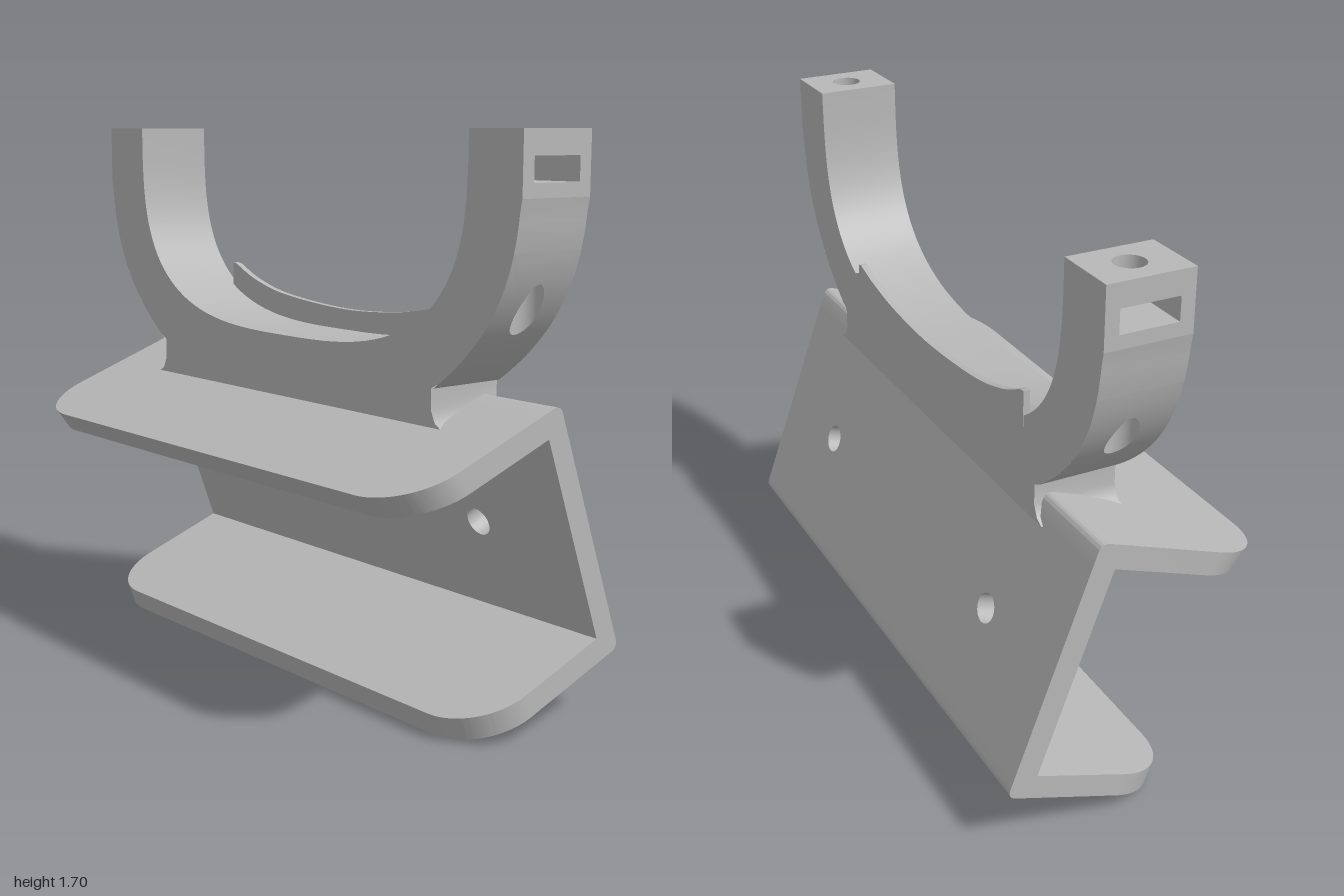
import * as THREE from 'three';
import { toCreasedNormals } from 'three/addons/utils/BufferGeometryUtils.js';

const grey = new THREE.MeshStandardMaterial({ color: 0xb8b8b8, side: THREE.DoubleSide });
grey.name = 'plain grey';

function add(parent, name, geometry) {
  const mesh = new THREE.Mesh(geometry, grey);
  mesh.name = name;
  parent.add(mesh);
  return mesh;
}

// Smooth sheet from a rule fn(u, v) -> [x, y, z], with u and v from 0 to 1
function sheet(nu, nv, fn) {
  const pos = [], idx = [];
  for (let i = 0; i <= nu; i++)
    for (let j = 0; j <= nv; j++) pos.push(...fn(i / nu, j / nv));
  for (let i = 0; i < nu; i++)
    for (let j = 0; j < nv; j++) {
      const a = i * (nv + 1) + j, b = a + nv + 1;
      idx.push(a, a + 1, b, b, a + 1, b + 1);
    }
  const g = new THREE.BufferGeometry();
  g.setAttribute('position', new THREE.Float32BufferAttribute(pos, 3));
  g.setIndex(idx);
  g.computeVertexNormals();
  return g;
}

function extrude(shape, depth) {
  return toCreasedNormals(
    new THREE.ExtrudeGeometry(shape, { depth, bevelEnabled: false, curveSegments: 16 }), 0.5);
}

const polygon = (pts) => new THREE.Shape(pts.map(([x, y]) => new THREE.Vector2(x, y)));
const circle = (x, y, r) => new THREE.Path().absarc(x, y, r, 0, Math.PI * 2, true);

// ---- Tilted channel bracket ----
const W = 0.96, T = 0.073, H = 0.8;

function flange(length, undercut) {
  const r = 0.2;
  const s = new THREE.Shape();
  s.moveTo(-W, T);
  s.lineTo(W, T);
  s.lineTo(W, length - r);
  s.absarc(W - r, length - r, r, 0, Math.PI / 2, false);
  s.absarc(-W + r, length - r, r, Math.PI / 2, Math.PI, false);
  const g = new THREE.ExtrudeGeometry(s, { depth: T, bevelEnabled: false, curveSegments: 16 });
  g.rotateX(Math.PI / 2);
  const p = g.attributes.position;
  for (let i = 0; i < p.count; i++)
    if (p.getY(i) < -T / 2 && p.getZ(i) > T + 0.01) p.setZ(i, p.getZ(i) - undercut);
  return toCreasedNormals(g, 0.5);
}

// Rounded bend joining a flange to the back plate
function bend(y, s) {
  const r = 0.03;
  const c = new THREE.Shape();
  c.moveTo(T, y);
  c.lineTo(r, y);
  c.quadraticCurveTo(0, y, 0, y - s * r);
  c.lineTo(0, y - s * T);
  c.lineTo(T, y - s * T);
  return extrude(c, 2 * W).rotateY(-Math.PI / 2).translate(W, 0, 0);
}

function makeBracket() {
  const g = new THREE.Group();
  g.name = 'bracket';
  add(g, 'topFlange', flange(0.61, 0.022));
  add(g, 'bottomFlange', flange(0.58, 0)).position.y = T - H;
  add(g, 'topBend', bend(0, 1));
  add(g, 'bottomBend', bend(-H, -1));
  const back = polygon([[-W, T - H], [W, T - H], [W, -T], [-W, -T]]);
  for (const x of [-0.575, 0.575]) back.holes.push(circle(x, -0.42, 0.045));
  add(g, 'backPlate', extrude(back, T));
  g.position.set(-0.01, 0.953, -0.151);
  g.rotation.x = THREE.MathUtils.degToRad(20);
  return g;
}

// ---- Curved cradle ----
const Z0 = -0.187, Z1 = 0.072, TOP = 1.7;
const outerX = (y) => 1 - 0.947 * Math.pow(TOP - y, 3.21);
const outerY = (x) => TOP - Math.pow((1 - x) / 0.947, 1 / 3.21);
const HX = 0.9, HZ = -0.06, HR = 0.045;      // vertical bolt hole
const S0 = 1.56, S1 = 1.63;                  // side slot

const notch = [[0.71, 0.87], [0.685, 0.885], [0.668, 0.92], [0.668, 0.984]];
const range = (a, b, n) => Array.from({ length: n + 1 }, (_, i) => a + (b - a) * i / n);
const arc = (y0, y1, n) => range(y0, y1, n).map((y) => [outerX(y), y]);
const patchX0 = 0.8, patchX1 = 0.975;
const lowerArc = arc(0.984, outerY(patchX0), 6);
const middleArc = arc(outerY(patchX0), outerY(patchX1), 14);
const upperArc = [...arc(outerY(patchX1), 1.48, 5), [1, 1.52]];
const innerArc = range(Math.PI / 2, 0, 28).map((t) => [
  0.8 * Math.pow(Math.sin(t), 2 / 3),
  TOP - 0.635 * Math.pow(Math.max(Math.cos(t), 0), 2 / 3.2)]);

// Wall sweeping a profile line from front to back
const wall = (pts) => sheet(pts.length - 1, 1, (u, v) => {
  const [x, y] = pts[Math.round(u * (pts.length - 1))];
  return [x, y, Z0 + (Z1 - Z0) * v];
});

// Outer wall around the oblique exit of the bolt hole
const corners = [[patchX1, Z0], [patchX1, Z1], [patchX0, Z1], [patchX0, Z0]];
const exitPatch = () => sheet(64, 8, (u, v) => {
  const k = Math.floor(u * 4) % 4, f = (u * 4) % 1;
  const [a, b] = [corners[k], corners[(k + 1) % 4]];
  const dx = a[0] + (b[0] - a[0]) * f - HX, dz = a[1] + (b[1] - a[1]) * f - HZ;
  const s = HR / Math.hypot(dx, dz), m = s + (1 - s) * v;
  const x = HX + dx * m;
  return [x, outerY(x), HZ + dz * m];
});

const holeWall = (bottom, top) => sheet(40, 1, (u, v) => {
  const a = u * Math.PI * 2, x = HX + HR * Math.cos(a);
  const low = bottom(x);
  return [x, low + (top - low) * v, HZ + HR * Math.sin(a)];
});

function makeArm(side) {
  const g = new THREE.Group();
  g.name = side > 0 ? 'leftArm' : 'rightArm';
  add(g, 'baseNotch', wall(notch));
  add(g, 'lowerOuterWall', wall(lowerArc));
  add(g, 'holeExitWall', exitPatch());
  add(g, 'upperOuterWall', wall(upperArc));
  add(g, 'innerWall', wall(innerArc));
  add(g, 'boltHoleLower', holeWall(outerY, S0));
  add(g, 'boltHoleUpper', holeWall(() => S1, TOP));

  // Arm end with bolt hole
  const end = polygon([[0.8, -Z0], [0.8, -Z1], [1, -Z1], [1, -Z0]]);
  end.holes.push(circle(HX, -HZ, HR));
  add(g, 'armEnd', new THREE.ShapeGeometry(end, 20).rotateX(-Math.PI / 2).translate(0, TOP, 0));

  // Slotted outer face
  const face = polygon([[-Z1, 1.52], [-Z0, 1.52], [-Z0, TOP], [-Z1, TOP]]);
  face.holes.push(polygon([[-0.03, S0], [-0.03, S1], [0.145, S1], [0.145, S0]]));
  add(g, 'slotFace', new THREE.ShapeGeometry(face).rotateY(Math.PI / 2).translate(1, 0, 0));

  // Pocket open to the outside
  const pocket = new THREE.BoxGeometry(0.17, S1 - S0, 0.175);
  pocket.setIndex(Array.from(pocket.index.array).slice(6));
  pocket.clearGroups();
  pocket.scale(-1, 1, 1).rotateY(Math.PI);
  add(g, 'slotPocket', pocket).position.set(0.915, (S0 + S1) / 2, -0.0575);
  g.scale.x = side;
  return g;
}

function makeCradle() {
  const g = new THREE.Group();
  g.name = 'cradle';
  const half = [...notch, ...lowerArc.slice(1), ...middleArc.slice(1), ...upperArc.slice(1),
    [1, TOP], ...innerArc];
  const mirrored = half.slice(0, -1).reverse().map(([x, y]) => [-x, y]);
  const outline = polygon([...half, ...mirrored]);
  add(g, 'frontFace', new THREE.ShapeGeometry(outline)).position.z = Z1;
  add(g, 'backFace', new THREE.ShapeGeometry(outline).rotateY(Math.PI)).position.z = Z0;
  g.add(makeArm(1), makeArm(-1));

  // Thin raised lip along the back edge
  const lip = new THREE.Shape();
  lip.moveTo(-0.6, 1.13);
  lip.lineTo(-0.6, 1.24);
  lip.lineTo(-0.58, 1.237);
  lip.splineThru([[-0.47, 1.19], [-0.3, 1.152], [0, 1.13], [0.25, 1.142], [0.42, 1.17], [0.52, 1.198]]
    .map(([x, y]) => new THREE.Vector2(x, y)));
  for (const [x, y] of [[0.537, 1.195], [0.54, 1.165], [0.57, 1.152], [0.4, 1.06], [0, 1.02], [-0.4, 1.06]])
    lip.lineTo(x, y);
  add(g, 'backLip', extrude(lip, 0.021)).position.z = Z0 - 0.001;
  return g;
}

export function createModel() {
  const model = new THREE.Group();
  model.name = 'cradleBracket';
  model.add(makeBracket(), makeCradle());
  return model;
}
